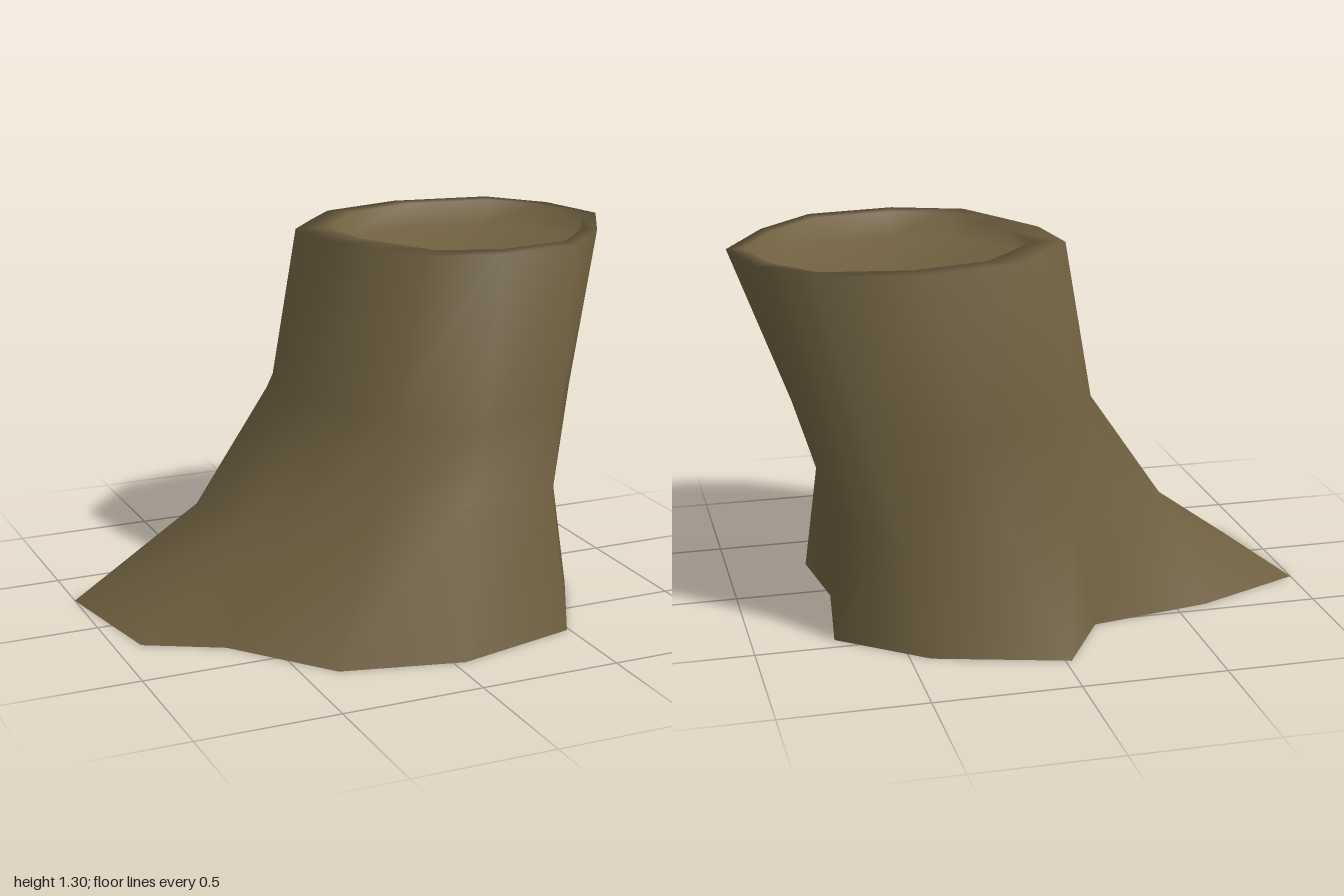
import * as THREE from 'three';

// Each spoke runs up the trunk: ground, flare, waist and top (x, z)
const GROUND = [[-1, -0.28], [-0.91, 0.21], [-0.65, 0.35], [-0.38, 0.69], [0.04, 0.79], [0.49, 0.68], [0.71, 0.27],
  [0.67, -0.05], [0.72, -0.44], [0.43, -0.67], [-0.02, -0.8], [-0.18, -0.53], [-0.61, -0.45]];
const FLARE = [[-0.53, -0.27], [-0.5, 0.1], [-0.38, 0.25], [-0.16, 0.5], [0.12, 0.62], [0.5, 0.53], [0.66, 0.24],
  [0.68, -0.07], [0.69, -0.46], [0.5, -0.6], [0.15, -0.65], [-0.1, -0.5], [-0.36, -0.41]];
const FLARE_Y = [0.31, 0.31, 0.32, 0.42, 0.48, 0.45, 0.42, 0.4, 0.38, 0.38, 0.37, 0.4, 0.35];
const WAIST = [[-0.23, -0.27], [-0.22, 0.04], [-0.15, 0.22], [-0.05, 0.42], [0.21, 0.56], [0.55, 0.48], [0.72, 0.24],
  [0.79, -0.07], [0.78, -0.41], [0.61, -0.58], [0.26, -0.625], [-0.02, -0.51], [-0.16, -0.41]];
const TOP = [[-0.14, -0.25], [-0.11, 0], [-0.02, 0.17], [0.08, 0.35], [0.33, 0.44], [0.64, 0.4], [0.84, 0.2],
  [0.995, -0.08], [0.93, -0.34], [0.77, -0.54], [0.41, -0.6], [0.1, -0.52], [-0.02, -0.39]];

const ring = (points, y) => points.map(([x, z], i) => [x, Array.isArray(y) ? y[i] : y, z]);

// Ring of the top outline drawn in towards a centre
const inset = (s, cx, cz, y) => ring(TOP.map(([x, z]) => [cx + (x - cx) * s, cz + (z - cz) * s]), y);

// Smooth skin over a stack of closed rings
function loft(rings) {
  const n = rings[0].length;
  const index = [];
  for (let r = 0; r < rings.length - 1; r++) {
    for (let i = 0; i < n; i++) {
      const a = r * n + i, b = r * n + (i + 1) % n;
      index.push(a, b, b + n, a, b + n, a + n);
    }
  }
  const geometry = new THREE.BufferGeometry();
  geometry.setAttribute('position', new THREE.Float32BufferAttribute(rings.flat(2), 3));
  geometry.setIndex(index);
  geometry.computeVertexNormals();
  return geometry;
}

export function createModel() {
  const group = new THREE.Group();
  group.name = 'treeStump';
  const bark = new THREE.MeshStandardMaterial({ color: 0x6f6040, side: THREE.DoubleSide });
  bark.name = 'bark brown';

  const stump = new THREE.Mesh(loft([
    // Roots and leaning trunk, open underneath
    ring(GROUND, 0), ring(FLARE, FLARE_Y), ring(WAIST, 0.75), ring(TOP, 1.3),
    // Flat rim
    inset(0.85, 0.62, -0.085, 1.3),
    // Shallow hollow following the lean of the trunk
    inset(0.85, 0.41, -0.075, 1.21),
    inset(0.001, 0.43, -0.075, 1.18),
  ]), bark);
  stump.name = 'hollowTrunkWithRoots';
  group.add(stump);
  return group;
}
